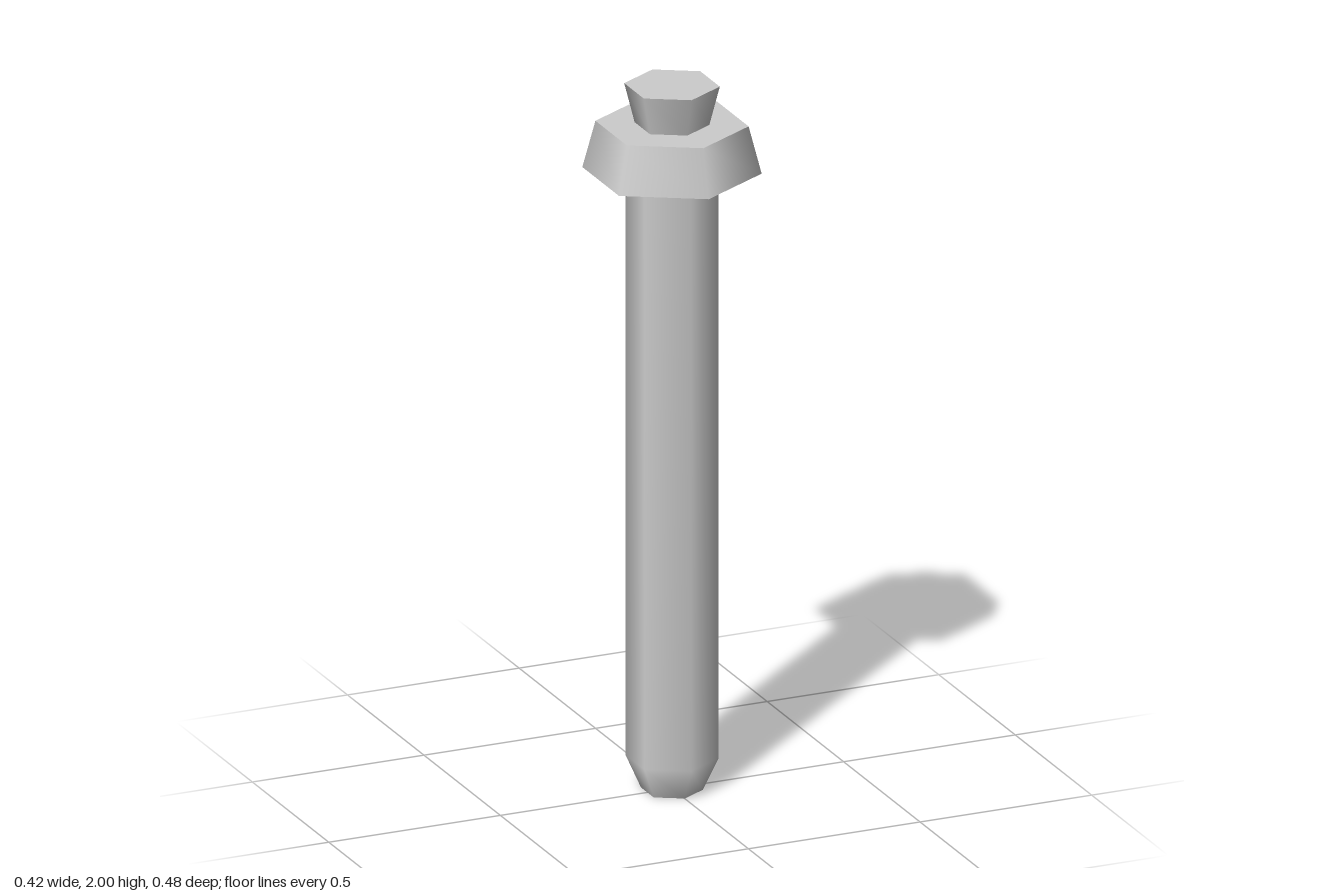
import * as THREE from 'three';
import { mergeGeometries } from 'three/addons/utils/BufferGeometryUtils.js';

const material = new THREE.MeshStandardMaterial({ color: 0xcccccc });

// Six-sided turned part; each profile is [radius, y] from the bottom up.
// Profiles are smooth inside and meet each other in a sharp edge.
function hexPart(name, profiles) {
  const pieces = profiles.map((profile) =>
    new THREE.LatheGeometry(profile.map(([r, y]) => new THREE.Vector2(r, y)), 6));
  const mesh = new THREE.Mesh(mergeGeometries(pieces), material);
  mesh.name = name;
  return mesh;
}

export function createModel() {
  const group = new THREE.Group();
  group.name = 'hexPin';

  // Long shaft with a chamfered tip
  group.add(hexPart('shaft', [
    [[0, 0], [0.083, 0]],
    [[0.083, 0], [0.125, 0.092], [0.125, 1.735]],
  ]));

  // Tapered collar with a shallow sloping underside
  group.add(hexPart('collar', [
    [[0.125, 1.735], [0.24, 1.757]],
    [[0.24, 1.757], [0.205, 1.89]],
    [[0.205, 1.89], [0.1, 1.89]],
  ]));

  // Flared head
  group.add(hexPart('head', [
    [[0.1, 1.89], [0.128, 2]],
    [[0.128, 2], [0, 2]],
  ]));

  return group;
}
